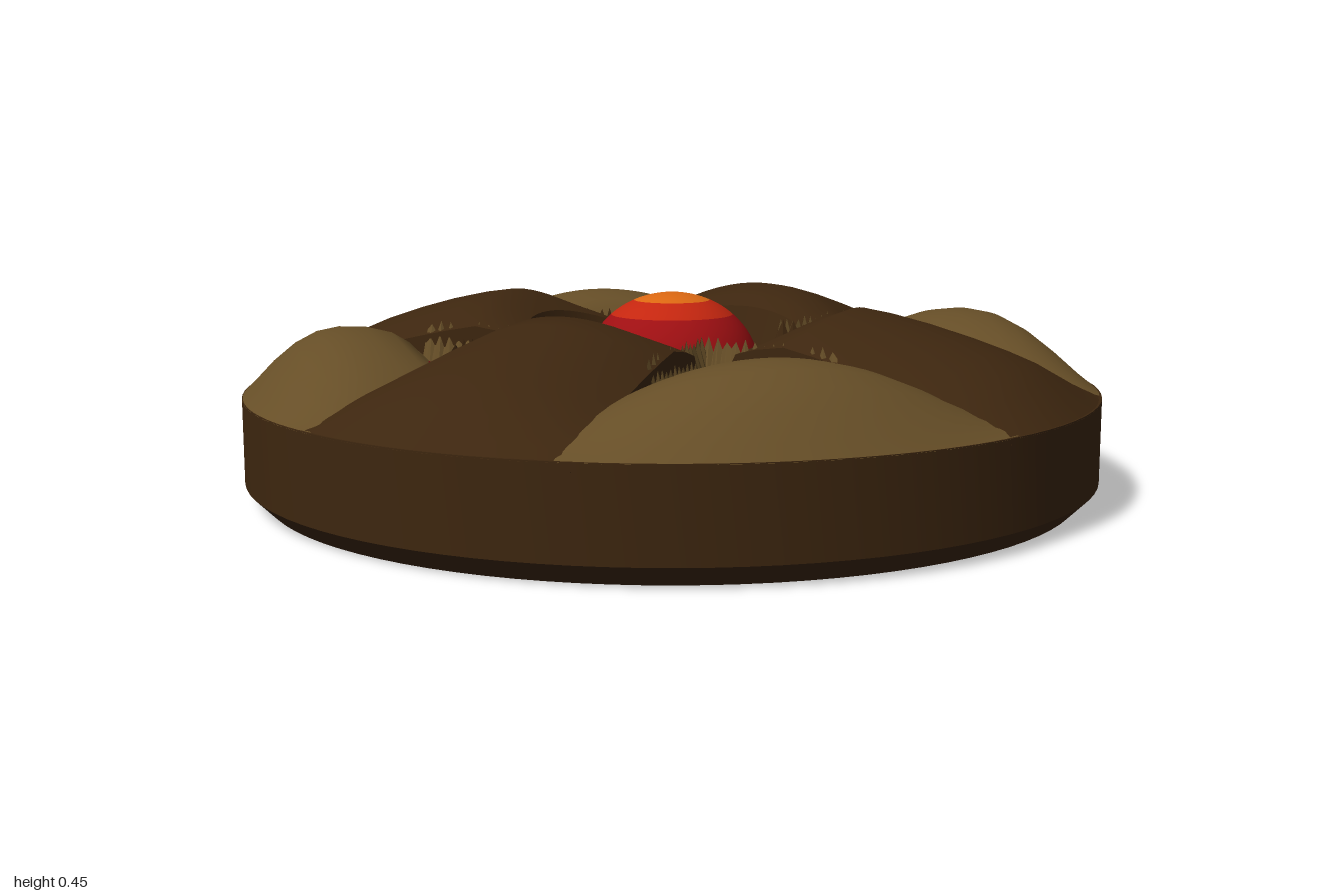
import * as THREE from 'three';
import { toCreasedNormals } from 'three/addons/utils/BufferGeometryUtils.js';

const mat = (name, color) => Object.assign(new THREE.MeshStandardMaterial({ color }), { name });

// Piecewise-linear lookup in a list of [r, y] points
function lookup(points, r) {
  for (let i = 1; i < points.length; i++) {
    const [r0, y0] = points[i - 1], [r1, y1] = points[i];
    if (r <= r1) return y0 + (y1 - y0) * (r - r0) / (r1 - r0);
  }
  return points[points.length - 1][1];
}

// Surface over a grid of columns (x rising) and rows (z rising), facing up
function grid(cols, rows, at, crease = 0.6) {
  const pos = [], index = [];
  for (const c of cols) for (const r of rows) pos.push(...at(c, r));
  const n = rows.length;
  for (let i = 0; i < cols.length - 1; i++) {
    for (let j = 0; j < n - 1; j++) {
      const a = i * n + j, c = a + n;
      index.push(a, a + 1, c, a + 1, c + 1, c);
    }
  }
  const g = new THREE.BufferGeometry();
  g.setAttribute('position', new THREE.Float32BufferAttribute(pos, 3));
  g.setIndex(index);
  return toCreasedNormals(g, crease);
}

const range = (a, b, n) => Array.from({ length: n + 1 }, (_, i) => a + (b - a) * i / n);

export function createModel() {
  const model = new THREE.Group();
  model.name = 'disc';
  const dark = mat('dark brown', 0x3d260f);
  const tan = mat('tan', 0x664e27);
  const red = mat('red', 0x9e0f12);
  const darkRed = mat('dark red', 0x740e11);
  const redOrange = mat('red orange', 0xc4260f);
  const orange = mat('orange', 0xdc6812);

  const add = (parent, name, geometry, material) => {
    const mesh = new THREE.Mesh(geometry, material);
    mesh.name = name;
    parent.add(mesh);
    return mesh;
  };
  const lathe = (name, material, pts) => add(model, name,
    toCreasedNormals(new THREE.LatheGeometry(pts.map(p => new THREE.Vector2(...p)), 96), 0.5), material);

  // Chamfered base and sunken floor
  lathe('baseSide', dark, [[0.955, 0], [1, 0.045], [1, 0.238], [0.97, 0.238]]);
  lathe('floorRim', darkRed, [[0.585, 0.285], [0.53, 0.255]]);
  lathe('floorOuter', red, [[0.53, 0.255], [0.31, 0.255]]);
  lathe('floorInner', redOrange, [[0.31, 0.255], [0.19, 0.265]]);

  // Central dome in three bands
  const bands = [['domeCap', orange, 0, 0.443], ['domeMiddle', redOrange, 0.443, 0.762],
    ['domeLower', red, 0.762, Math.PI / 2]];
  for (const [name, material, t0, t1] of bands) {
    const dome = add(model, name,
      new THREE.SphereGeometry(0.21, 48, 10, 0, Math.PI * 2, t0, t1 - t0), material);
    dome.scale.y = 0.9;
    dome.position.y = 0.265;
  }

  // Underside wedges, alternating
  const deg = Math.PI / 180;
  for (let k = 0; k < 4; k++) {
    for (const [name, material, start, size] of [['undersideTan', tan, 24.5, 41], ['undersideDark', dark, 65.5, 49]]) {
      const wedge = new THREE.CircleGeometry(0.955, 14, (start + 90 * k) * deg, size * deg);
      add(model, name, wedge.rotateX(Math.PI / 2), material);
    }
  }

  // Arched arm with side walls, running along +z
  const halfWidth = r => 0.19 + 0.167 * (r - 0.2);
  const armProfile = [[0.31, 0.25], [0.355, 0.39], [0.4, 0.415], [0.47, 0.44], [0.54, 0.43], [0.62, 0.413],
    [0.72, 0.386], [0.8, 0.36], [0.86, 0.335], [0.91, 0.303], [0.96, 0.265], [1, 0.235]];
  const across = range(-1, 1, 16);
  const armGeometry = grid([-1.001, ...across, 1.001], armProfile.map(p => p[0]), (u, r) => {
    const x = u * halfWidth(r), crest = lookup(armProfile, r);
    const drop = 1.25 * x * x * Math.max(0, (crest - 0.235) / 0.21);
    return [x, Math.abs(u) > 1 ? 0.2 : crest - drop, Math.sqrt(r * r - x * x)];
  });

  // Bulging rim sector between two arms, with its inner slope
  const sectorProfile = [[0.58, 0.28], [0.62, 0.35], [0.66, 0.375], [0.72, 0.39], [0.78, 0.392],
    [0.83, 0.382], [0.88, 0.355], [0.93, 0.312], [0.97, 0.268], [1, 0.236]];
  const sectorGeometry = grid(range(-1, 1, 24), sectorProfile.map(p => p[0]), (t, r) => {
    const angle = (45 + 28 * t) * deg;
    const rise = Math.max(0, lookup(sectorProfile, r) - 0.236);
    const scale = r < 0.6 ? 1 : 1 - 0.72 * t * t;
    return [r * Math.sin(angle), 0.236 + rise * scale, r * Math.cos(angle)];
  });

  // Serrated ridge along an arm edge: dark towards the arm, tan towards the floor
  const teeth = range(0.19, 0.54, 28);
  function ridge(side, [from, to]) {
    const cols = side > 0 ? [from, to] : [to, from];
    return grid(cols, teeth, (offset, z) => {
      const j = Math.round((z - 0.19) / 0.0125);
      const top = 0.352 + (j % 2 ? 0.024 : 0) + 0.006 * Math.sin(j * 2.3);
      return [side * (halfWidth(z) + offset), offset === 0 ? top : 0.25, z];
    }, 0.2);
  }

  for (let k = 0; k < 4; k++) {
    const quarter = new THREE.Group();
    quarter.name = 'quarter' + (k + 1);
    quarter.rotation.y = k * Math.PI / 2;
    add(quarter, 'arm', armGeometry, dark);
    add(quarter, 'rimSector', sectorGeometry, tan);
    for (const side of [-1, 1]) {
      add(quarter, 'ridgeInner', ridge(side, [-0.03, 0]), dark);
      add(quarter, 'ridgeOuter', ridge(side, [0, 0.035]), tan);
    }
    model.add(quarter);
  }
  return model;
}
